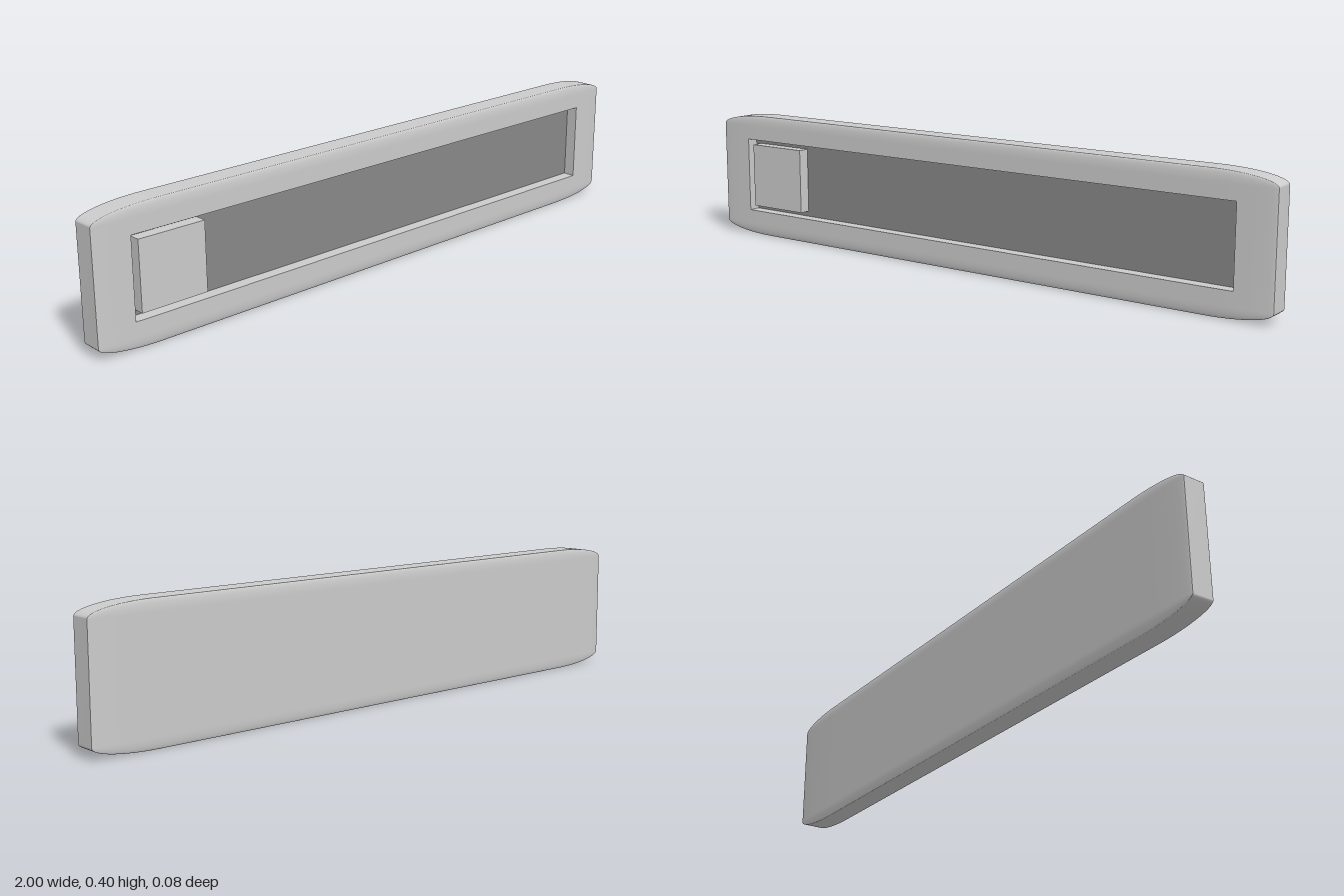
import * as THREE from 'three';

const HALF_X = 1, HALF_Y = 0.2, RX = 0.2, RY = 0.035; // outline and elliptical corner radii
const EDGE_Z = 0.033, BULGE = 0.007;                  // rim half thickness and face crown
const HOLE_X = 0.887, HOLE_Y = 0.12, FLOOR_Z = 0.002; // recess

// Counter-clockwise outline with elliptical corners
function outline(steps = 16) {
  const pts = [];
  [[1, 1], [-1, 1], [-1, -1], [1, -1]].forEach(([sx, sy], q) => {
    for (let i = 0; i <= steps; i++) {
      const a = (q + i / steps) * Math.PI / 2;
      pts.push([sx * (HALF_X - RX) + RX * Math.cos(a), sy * (HALF_Y - RY) + RY * Math.sin(a)]);
    }
  });
  return pts;
}

// Crowned height of the large faces
function height(x, y) {
  const dx = Math.max(0, Math.abs(x) - HALF_X + RX) / RX;
  const dy = Math.max(0, Math.abs(y) - HALF_Y + RY) / RY;
  return EDGE_Z + BULGE * Math.sqrt(Math.max(0, 1 - dx * dx - dy * dy));
}

// Joins closed rings of [x, y, z] points into a surface
function loft(rings, flip = false) {
  const n = rings[0].length, index = [];
  for (let r = 0; r < rings.length - 1; r++) {
    for (let i = 0; i < n; i++) {
      const a = r * n + i, b = r * n + (i + 1) % n, c = a + n, d = b + n;
      if (flip) index.push(a, c, b, b, c, d);
      else index.push(a, b, c, b, d, c);
    }
  }
  const geo = new THREE.BufferGeometry();
  geo.setAttribute('position', new THREE.Float32BufferAttribute(rings.flat(2), 3));
  geo.setIndex(index);
  geo.computeVertexNormals();
  return geo;
}

// Rings running from the outline inward to a rectangle
function faceRings(outer, hx, hy, side, steps = 20) {
  const clamp = THREE.MathUtils.clamp;
  return Array.from({ length: steps + 1 }, (_, k) => {
    const t = (k / steps) ** 2;
    return outer.map(([x, y]) => {
      const px = THREE.MathUtils.lerp(x, clamp(x, -hx, hx), t);
      const py = THREE.MathUtils.lerp(y, clamp(y, -hy, hy), t);
      return [px, py, side * height(px, py)];
    });
  });
}

export function createModel() {
  const group = new THREE.Group();
  const grey = new THREE.MeshStandardMaterial({ color: 0xcccccc });
  const flatGrey = new THREE.MeshStandardMaterial({ color: 0xcccccc, flatShading: true });
  const dark = new THREE.MeshStandardMaterial({ color: 0x888888 });
  const add = (name, geo, mat, x = 0, y = 0, z = 0) => {
    const mesh = new THREE.Mesh(geo, mat);
    mesh.name = name;
    mesh.position.set(x, y + HALF_Y, z);
    group.add(mesh);
    return mesh;
  };
  const outer = outline();

  // Housing: rim, crowned front with opening, crowned back
  add('housingRim', loft([-EDGE_Z, EDGE_Z].map(z => outer.map(([x, y]) => [x, y, z]))), grey);
  const front = faceRings(outer, HOLE_X, HOLE_Y, 1);
  add('housingFront', loft(front), grey);
  add('housingBackEdge', loft(faceRings(outer, HALF_X - RX, HALF_Y - RY, -1), true), grey);
  add('housingBack', new THREE.PlaneGeometry(2 * (HALF_X - RX), 2 * (HALF_Y - RY)), grey,
    0, 0, -EDGE_Z - BULGE).rotation.y = Math.PI;

  // Recess walls and dark floor
  const lip = front[front.length - 1];
  add('recessWalls', loft([lip, lip.map(([x, y]) => [x, y, FLOOR_Z])]), flatGrey);
  add('recessFloor', new THREE.PlaneGeometry(2 * HOLE_X, 2 * HOLE_Y), dark, 0, 0, FLOOR_Z);

  // Sliding button at one end of the recess
  const depth = 0.038 - FLOOR_Z;
  add('slider', new THREE.BoxGeometry(0.21, 0.206, depth), flatGrey, -0.761, 0, FLOOR_Z + depth / 2);

  return group;
}
